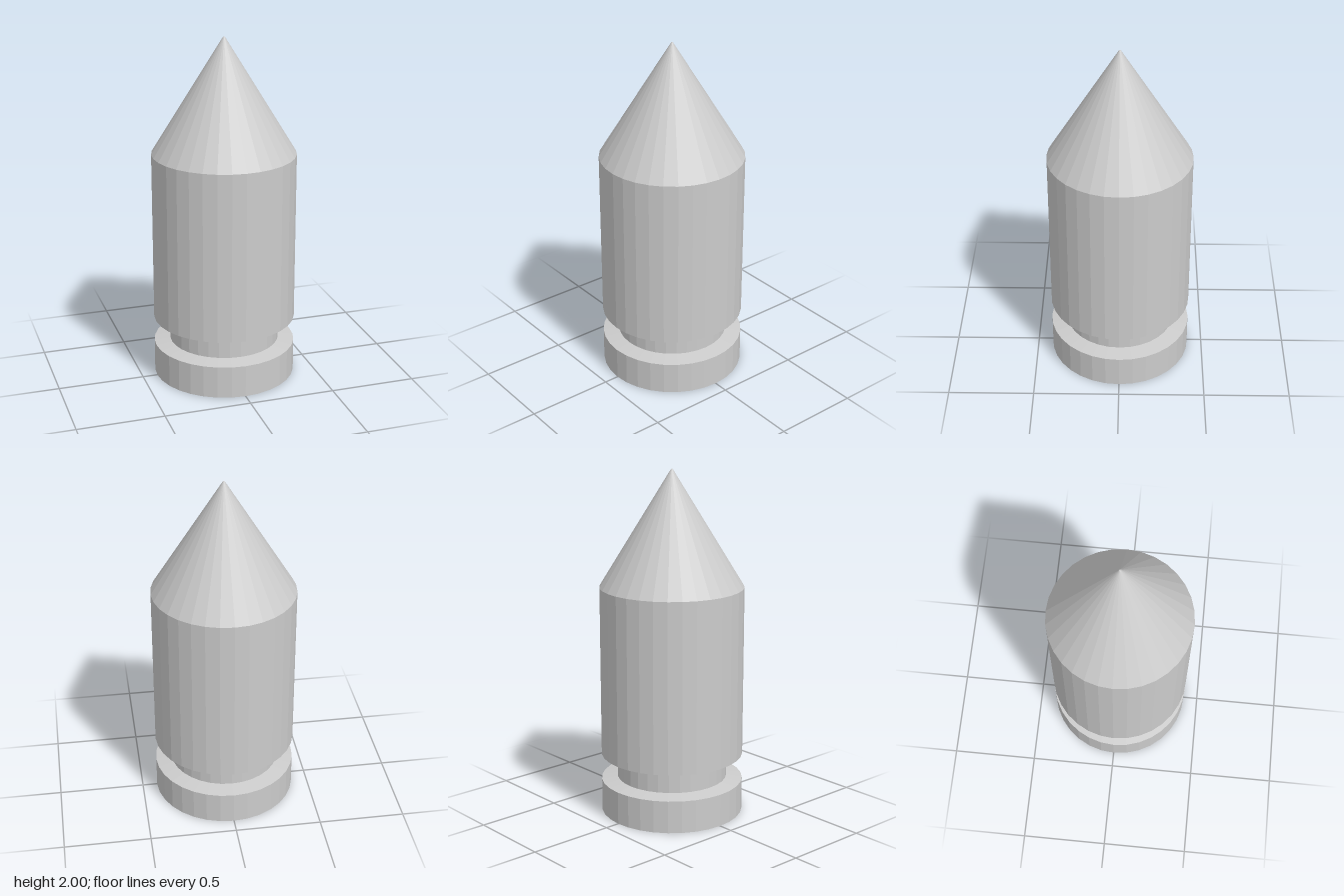
import * as THREE from 'three';

const SIDES = 32;
const R = 0.413; // outer radius
const NECK = 0.32; // groove radius

export function createModel() {
  const group = new THREE.Group();
  const material = new THREE.MeshStandardMaterial({ color: 0xcccccc, flatShading: true });

  // Turns a [radius, height] profile, listed bottom to top, about the y axis
  const turn = (name, profile) => {
    const points = profile.map(([r, y]) => new THREE.Vector2(r, y));
    const mesh = new THREE.Mesh(new THREE.LatheGeometry(points, SIDES), material);
    mesh.name = name;
    group.add(mesh);
  };

  // Base disc with a gently sloped upper face
  turn('base', [[0, 0], [R, 0], [R, 0.19], [NECK, 0.205]]);
  // Recessed groove between base and body
  turn('groove', [[NECK, 0.205], [NECK, 0.328]]);
  // Main cylinder with a sloped underside
  turn('body', [[NECK, 0.328], [R, 0.345], [R, 1.335]]);
  // Conical tip with a tiny blunt end
  turn('tip', [[R, 1.335], [0.008, 1.995], [0.004, 2], [0, 2]]);

  return group;
}
